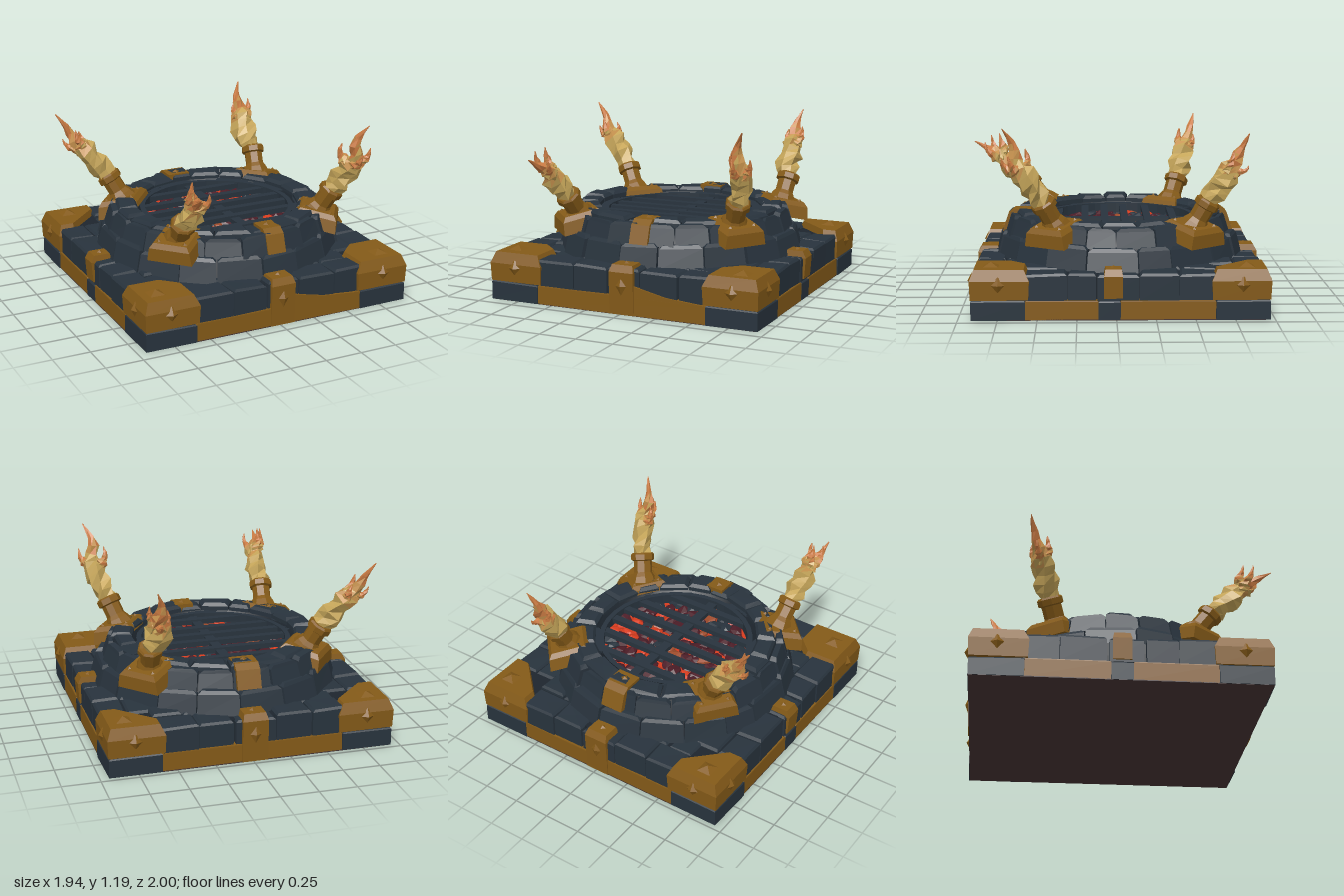
import * as THREE from 'three';
import { mergeGeometries } from 'three/addons/utils/BufferGeometryUtils.js';

const mat = (name, color, side = THREE.FrontSide) => {
  const m = new THREE.MeshStandardMaterial({ color, side });
  m.name = name;
  return m;
};

export function createModel() {
  const stone = mat('slate stone', 0x28333d);
  const mortar = mat('dark mortar', 0x1d252d, THREE.DoubleSide);
  const gold = mat('aged gold', 0x845a18);
  const hot = mat('hot lava', 0xd83c1e);
  const coal = mat('dark red coal', 0x4c1d27);
  const ember = mat('ember', 0x9c4a2a);
  const cream = mat('pale flame', 0xc6a65a);
  const amber = mat('amber flame', 0xc6924e);
  const orange = mat('orange flame', 0xc97a42);
  const under = mat('underside', 0x463434);

  let seed = 7;
  const rnd = () => (seed = (seed * 16807) % 2147483647) / 2147483647;
  const jit = (a) => (rnd() * 2 - 1) * a;
  const V = (x, y, z) => new THREE.Vector3(x, y, z);

  const model = new THREE.Group();
  const body = new THREE.Group();
  body.name = 'firePit';
  body.position.z = -0.025;
  model.add(body);

  const add = (parent, name, geo, material) => {
    const m = new THREE.Mesh(geo, material);
    m.name = name;
    parent.add(m);
    return m;
  };
  const flat = (g) => {
    const n = g.index ? g.toNonIndexed() : g;
    n.computeVertexNormals();
    return n;
  };

  // Skin over closed rings of points, capped at both ends; ring order is counterclockwise seen from the end
  function loft(rings, skinGroup) {
    const pos = [], groups = [], n = rings[0].length;
    const tri = (g, ...p) => { p.forEach((q) => pos.push(q.x, q.y, q.z)); groups.push(g); };
    const mid = (r) => r.reduce((s, p) => s.add(p), V(0, 0, 0)).divideScalar(n);
    const last = rings.length - 1, c0 = mid(rings[0]), c1 = mid(rings[last]);
    for (let j = 0; j < n; j++) {
      const k = (j + 1) % n;
      tri(0, c0, rings[0][k], rings[0][j]);
      for (let i = 0; i < last; i++) {
        const g = () => (skinGroup ? skinGroup(i / last) : 0);
        tri(g(), rings[i][j], rings[i][k], rings[i + 1][k]);
        tri(g(), rings[i][j], rings[i + 1][k], rings[i + 1][j]);
      }
      tri(skinGroup ? 2 : 0, c1, rings[last][j], rings[last][k]);
    }
    const geo = new THREE.BufferGeometry();
    geo.setAttribute('position', new THREE.Float32BufferAttribute(pos, 3));
    if (skinGroup) groups.forEach((g, i) => geo.addGroup(i * 3, 3, g));
    geo.computeVertexNormals();
    return geo;
  }

  // Chunky block with a chamfered top, from a bottom and a top outline
  function chunk(bottom, top, bevel = 0.02) {
    const c = top.reduce((s, p) => s.add(p), V(0, 0, 0)).divideScalar(top.length);
    const inset = top.map((p) => {
      const d = c.clone().sub(p).setY(0);
      return p.clone().add(d.setLength(Math.min(bevel * 1.3, d.length() * 0.4)));
    });
    return loft([bottom, top.map((p) => V(p.x, p.y - bevel, p.z)), inset]);
  }
  function block(x0, x1, y0, y1, z0, z1, j = 0, bevel = 0.02) {
    const q = [[x0, z1], [x1, z1], [x1, z0], [x0, z0]].map(([x, z]) => [x + jit(j), z + jit(j)]);
    return chunk(q.map(([x, z]) => V(x, y0, z)), q.map(([x, z]) => V(x, y1 + jit(j), z)), bevel);
  }
  const stud = (parent, x, y, z, rx = 0, ry = 0, r = 0.055, h = 0.03) => {
    const g = new THREE.ConeGeometry(r, h, 4);
    g.translate(0, h / 2, 0);
    const m = add(parent, 'stud', flat(g), gold);
    m.rotation.set(rx, ry, 0, 'YXZ');
    m.position.set(x, y, z);
    return m;
  };

  // Core slabs and underside
  add(body, 'plinthCore', new THREE.BoxGeometry(1.84, 0.118, 1.84).translate(0, 0.061, 0), mortar);
  add(body, 'terraceCore', new THREE.BoxGeometry(1.76, 0.16, 1.76).translate(0, 0.195, 0), mortar);
  add(body, 'underside', new THREE.BoxGeometry(1.88, 0.006, 1.88).translate(0, 0.003, 0), under);

  // Four sides, each with its corner
  for (let k = 0; k < 4; k++) {
    const side = new THREE.Group();
    side.name = 'side' + k;
    side.rotation.y = k * Math.PI / 2;
    body.add(side);
    const odd = k % 2;
    const gap = k === 1 ? -0.07 : 0;
    add(side, 'plinthCornerStone', block(0.6, 0.945, 0.002, 0.125, 0.6, 0.945, 0.004, 0.008), stone);
    const strips = odd ? [[-0.6, gap - 0.07], [gap + 0.07, 0.6]] : [[-0.6, 0.6]];
    strips.forEach(([a, b]) => add(side, 'plinthBand', block(a, b, 0.002, 0.125, 0.85, 0.94, 0, 0.006), gold));
    if (odd) add(side, 'plinthMiddleStone', block(gap - 0.07, gap + 0.07, 0.002, 0.12, 0.85, 0.943, 0, 0.006), stone);
    if (k === 0) {
      const w = new THREE.Shape([[0.08, 0.12], [0.6, 0.12], [0.32, 0.145], [0.12, 0.19], [0.08, 0.2]].map((p) => new THREE.Vector2(...p)));
      add(side, 'bentBand', new THREE.ExtrudeGeometry(w, { depth: 0.05, bevelEnabled: false }).translate(0, 0, 0.892), gold);
    }

    // Terrace stones, two rows deep
    const stones = [];
    [[0.75, 0.93, 5], [0.57, 0.742, 6]].forEach(([z0, z1, n]) => {
      let x = -0.62;
      for (let i = 0; i < n; i++) {
        const e = i === n - 1 ? 0.62 : -0.62 + 1.24 * (i + 1) / n + jit(0.04);
        stones.push(block(x + 0.004, e - 0.004, 0.125, 0.295 + jit(0.012), z0, z1, 0.006, 0.015));
        x = e;
      }
    });
    add(side, 'terraceStones', mergeGeometries(stones), stone);

    // Gold corner cap
    const c = [0.7, 0.84, 0.84, 0.7][k];
    const outline = [[0.58, 0.945], [0.945, 0.945], [0.945, 0.58], [c, 0.58], [0.58, c]];
    const ring = (y, s) => outline.map(([x, z]) => V(0.78 + (x - 0.78) * s, y, 0.78 + (z - 0.78) * s));
    add(side, 'cornerCap', loft([ring(0.13, 1), ring(0.25, 1.03), ring(0.322, 0.86)]), gold);
    stud(side, 0.77, 0.225, 0.942, Math.PI / 2);
    stud(side, 0.942, 0.225, 0.77, Math.PI / 2, Math.PI / 2);
    stud(side, 0.8, 0.32, 0.82, 0, 0.78, 0.075);

    // Gold clip at the middle of the side
    const w = odd ? 0.06 : 0.085;
    const mid = [0.015, -0.045, 0.01, 0][k];
    const rect = (y, a, z0, z1) => [V(mid - a, y, z1), V(mid + a, y, z1), V(mid + a, y, z0), V(mid - a, y, z0)];
    add(side, 'sideClip', loft([rect(odd ? 0.14 : 0.002, w, 0.81, 0.945), rect(0.28, w, 0.81, 0.955), rect(0.325, w * 0.85, 0.82, 0.93)]), gold);
    stud(side, mid, 0.32, 0.87, 0, 0, 0.03, 0.02);
    if (!odd) stud(side, mid, 0.19, 0.945, Math.PI / 2).scale.set(0.9, 0.9, 1.35);
  }

  // Round dome of stones
  const polar = (r, a, y) => V(r * Math.cos(a), y, -r * Math.sin(a));
  function stoneRing(name, y0, y1, rIn, rBottom, rTop, n, shift) {
    const list = [];
    const cuts = Array.from({ length: n }, (_, i) => (i + shift + jit(0.12)) * 2 * Math.PI / n);
    for (let i = 0; i < n; i++) {
      const a = cuts[i] + 0.006, b = (i + 1 < n ? cuts[i + 1] : cuts[0] + 2 * Math.PI) - 0.006;
      const d = jit(0.012), h = y1 + jit(0.01);
      const quad = (r, y, j) => [polar(r, a, y + jit(j)), polar(r, b, y + jit(j)), polar(rIn, b, y), polar(rIn, a, y)];
      list.push(chunk(quad(rBottom + d, y0, 0), quad(rTop + d, h, 0.008), 0.022));
    }
    add(body, name, mergeGeometries(list), stone);
  }
  const profile = [[0.53, 0.34], [0.53, 0.53], [0.7, 0.53], [0.74, 0.44], [0.79, 0.27]].map((p) => new THREE.Vector2(...p));
  add(body, 'domeCore', new THREE.LatheGeometry(profile, 32), mortar);
  stoneRing('lowerRing', 0.28, 0.435, 0.66, 0.84, 0.805, 18, 0.3);
  stoneRing('middleRing', 0.42, 0.55, 0.69, 0.775, 0.74, 21, 0);
  stoneRing('rimStones', 0.46, 0.573, 0.56, 0.7, 0.695, 20, 0.5);

  // Gold clips over the rim, front and back
  [[0.055, 0.065, 0.63], [-0.02, 0.08, -0.66]].forEach(([x, w, z]) => {
    const g = new THREE.Group();
    g.name = 'rimClip';
    g.rotation.y = z < 0 ? Math.PI : 0;
    g.position.x = x;
    body.add(g);
    const r = (y, z1) => [V(-w, y, z1), V(w, y, z1), V(w, y, 0.57), V(-w, y, 0.57)];
    add(g, 'rimClipPlate', loft([r(0.43, 0.785), r(0.55, 0.745), r(0.583, 0.7)]), gold);
    stud(g, 0, 0.582, 0.63, 0, 0, 0.03, 0.015);
  });

  // Lava bed with coals and fallen stones
  add(body, 'lavaBed', new THREE.CircleGeometry(0.53, 32).rotateX(-Math.PI / 2).translate(0, 0.445, 0), hot);
  const heaps = [[], [], [], []];
  for (let i = 0; i < 120; i++) {
    const r = 0.49 * Math.sqrt((i + 0.5) / 120), a = i * 2.39996, s = 0.036 + rnd() * 0.03, pick = rnd();
    const g = new THREE.IcosahedronGeometry(s, 0).scale(1.3, 0.55, 0.85);
    g.rotateY(rnd() * 6).rotateX(jit(0.4)).translate(r * Math.cos(a), 0.446 + rnd() * 0.012, r * Math.sin(a));
    heaps[pick < 0.55 ? 0 : pick < 0.74 ? 1 : pick < 0.93 ? 2 : 3].push(flat(g));
  }
  ['coals', 'glowingCoals', 'fallenStones', 'embers'].forEach((n, i) => add(body, n, mergeGeometries(heaps[i]), [coal, hot, stone, ember][i]));

  // Iron grate
  const hoop = new THREE.Shape().absarc(0, 0, 0.565, 0, Math.PI * 2);
  hoop.holes.push(new THREE.Path().absarc(0, 0, 0.495, 0, Math.PI * 2, true));
  add(body, 'grateRing', new THREE.ExtrudeGeometry(hoop, { depth: 0.07, bevelEnabled: false, curveSegments: 20 }).rotateX(-Math.PI / 2).translate(0, 0.46, 0), stone);
  [-0.375, -0.2, -0.045, 0.09, 0.225, 0.405].forEach((z) =>
    add(body, 'grateBar', new THREE.BoxGeometry(2 * Math.sqrt(0.26 - z * z), 0.035, 0.05).translate(0, 0.505, z), stone));
  add(body, 'grateCrossBar', new THREE.BoxGeometry(0.065, 0.03, 1).translate(0.015, 0.495, 0), stone);

  // Faceted flame along a path, pale below, then amber, then orange
  function flame(parent, name, points, radius, split) {
    const curve = new THREE.CatmullRomCurve3(points), n = 10, sides = 6;
    const frames = curve.computeFrenetFrames(n, false);
    const rings = Array.from({ length: n + 1 }, (_, i) => {
      const t = i / n, p = curve.getPointAt(t);
      const r = radius * (t < 0.38 ? 0.7 + 0.8 * t : 1 - ((t - 0.38) / 0.62) ** 0.7) + 0.003;
      return Array.from({ length: sides }, (_, j) => {
        const a = j / sides * 2 * Math.PI + t * 1.5, q = r * (1 + jit(0.32));
        return p.clone().addScaledVector(frames.normals[i], q * Math.cos(a)).addScaledVector(frames.binormals[i], q * Math.sin(a));
      });
    });
    const tone = (t) => {
      const u = t + jit(0.16) - split;
      return u > 0.12 ? 2 : u > -0.04 ? 1 : 0;
    };
    add(parent, name, loft(rings, tone), [cream, amber, orange]);
  }

  // Torches: mount position, then the flame path from the cup to the tip, then tongue tips
  const torches = [
    ['backLeftmost', [-0.53, -0.41],
      [[-0.62, 0.7, -0.47], [-0.71, 0.81, -0.5], [-0.81, 0.92, -0.54], [-0.86, 1.03, -0.58], [-0.94, 1.14, -0.61]],
      [[-0.91, 0.97, -0.57], [-0.78, 1.0, -0.6], [-0.84, 1.04, -0.5]]],
    ['frontLeftmost', [-0.52, 0.47],
      [[-0.54, 0.68, 0.6], [-0.55, 0.77, 0.71], [-0.56, 0.87, 0.82], [-0.59, 0.92, 0.91], [-0.6, 0.97, 1.0]],
      [[-0.62, 1.01, 0.88], [-0.51, 0.97, 0.92], [-0.58, 1.03, 0.82]]],
    ['backRightmost', [0.56, -0.5],
      [[0.58, 0.7, -0.6], [0.55, 0.81, -0.67], [0.56, 0.92, -0.75], [0.55, 1.03, -0.81], [0.59, 1.14, -0.86]],
      [[0.51, 1.0, -0.78], [0.62, 1.03, -0.76], [0.57, 0.93, -0.86]]],
    ['frontRightmost', [0.56, 0.38],
      [[0.63, 0.7, 0.47], [0.67, 0.81, 0.54], [0.71, 0.93, 0.63], [0.69, 1.07, 0.65], [0.75, 1.19, 0.72]],
      [[0.79, 1.02, 0.68], [0.63, 1.05, 0.58], [0.7, 1.0, 0.73]]],
  ];
  torches.forEach(([name, [x, z], path, tips]) => {
    const torch = new THREE.Group();
    torch.name = name + 'Torch';
    model.add(torch);

    // Tilted mounting plate with rivets
    const mount = new THREE.Group();
    mount.name = 'torchMount';
    mount.position.set(x, 0.485, z);
    mount.rotation.set(0.22, Math.atan2(x, z), 0, 'YXZ');
    torch.add(mount);
    const sq = (y, s) => [V(-s, y, s), V(s, y, s), V(s, y, -s), V(-s, y, -s)];
    add(mount, 'mountPlate', loft([sq(-0.04, 0.155), sq(0.045, 0.14), sq(0.075, 0.115)]), gold);
    for (const sx of [-1, 1]) for (const sz of [-1, 1]) stud(mount, sx * 0.09, 0.07, sz * 0.09, 0, 0, 0.022, 0.02);

    // Leaning cup with a collar
    const p = path.map((q) => V(...q)), foot = V(x, 0.52, z);
    const dir = p[0].clone().sub(foot), len = dir.length();
    const cup = [[0.105, 0], [0.085, 0.25], [0.066, 0.4], [0.066, 0.78], [0.084, 0.82], [0.084, 1], [0.072, 1.06], [0, 1.02]];
    const m = add(torch, 'torchCup', flat(new THREE.LatheGeometry(cup.map(([r, h]) => new THREE.Vector2(r, h * len)), 8)), gold);
    m.position.copy(foot);
    m.quaternion.setFromUnitVectors(V(0, 1, 0), dir.normalize());

    // Main flame and its curling tongues
    flame(torch, 'flame', p, 0.084, 0.5);
    tips.forEach((q) => {
      const tip = V(...q), root = p[1].clone().lerp(p[2], 0.55);
      const bend = root.clone().lerp(tip, 0.6).add(tip.clone().sub(p[2]).setY(0).multiplyScalar(0.4));
      flame(torch, 'flameTongue', [root, bend, tip], 0.04, 0.35);
    });
  });

  return model;
}
